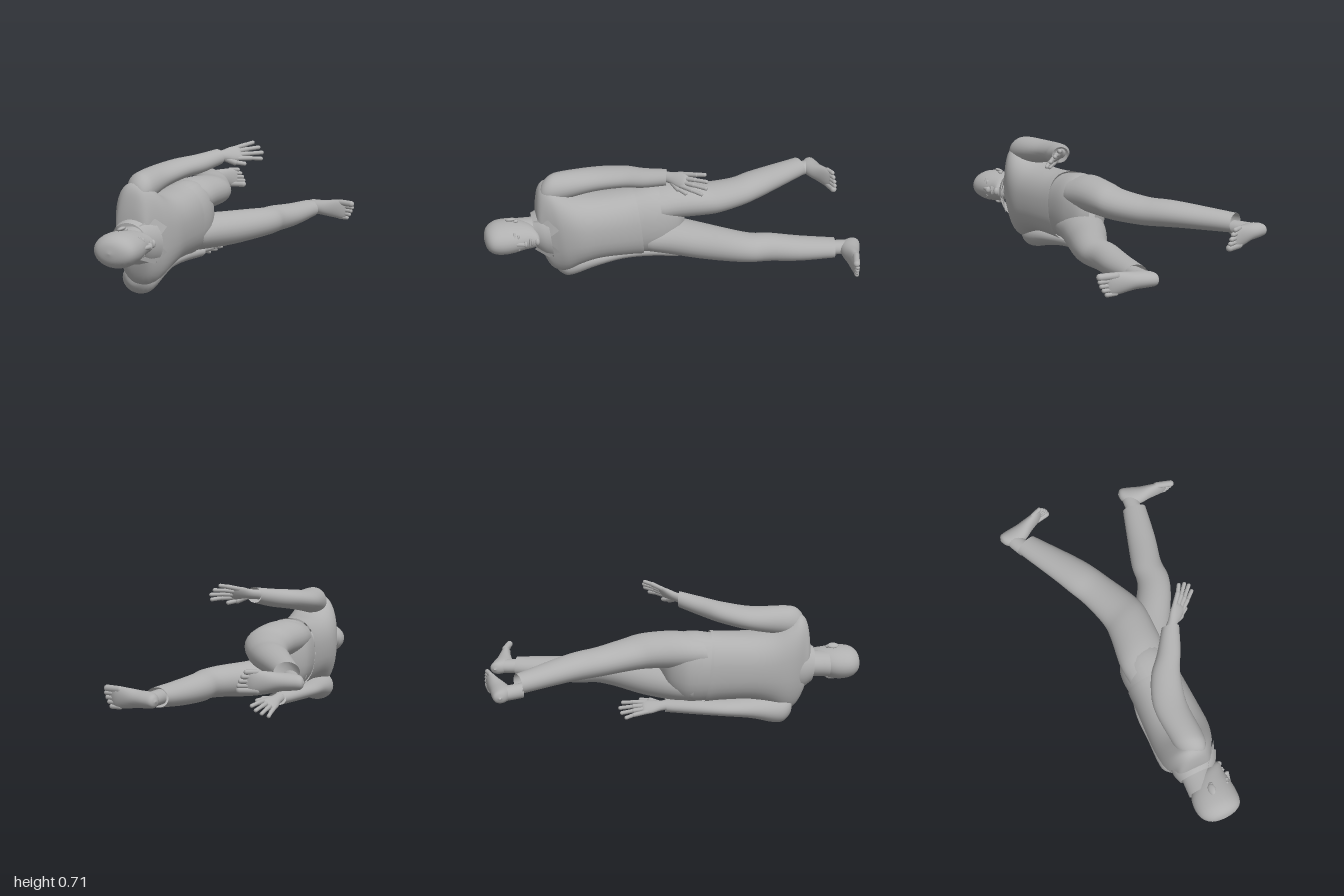
import * as THREE from 'three';

const grey = new THREE.MeshStandardMaterial({ color: 0xb0b0b0, side: THREE.DoubleSide });
grey.name = 'plain grey';
const V = (x, y, z) => new THREE.Vector3(x, y, z);

function add(parent, name, geometry) {
  const mesh = new THREE.Mesh(geometry, grey);
  mesh.name = name;
  parent.add(mesh);
  return mesh;
}

// Smooth tube of rounded sections along an axis.
// Rows run up the axis: [position, centreA, centreB, radiusA, radiusB]; leanA and leanB tilt the rings,
// power 2 gives ellipses and more gives boxier sections.
function loft(rows, { axis = 'z', leanA = 0, leanB = 0, power = 2, sides = 28 } = {}) {
  const centres = new THREE.CatmullRomCurve3(rows.map(r => V(r[0], r[1], r[2])), false, 'catmullrom');
  const radii = new THREE.CatmullRomCurve3(rows.map(r => V(r[3], r[4], 0)), false, 'catmullrom');
  const steps = (rows.length - 1) * 4, pos = [], index = [];
  const bend = v => Math.sign(v) * Math.abs(v) ** (2 / power);
  for (let i = 0; i <= steps; i++) {
    const c = centres.getPoint(i / steps), r = radii.getPoint(i / steps);
    for (let j = 0; j < sides; j++) {
      const t = j / sides * Math.PI * 2;
      const da = Math.max(r.x, 0) * bend(Math.cos(t)), db = Math.max(r.y, 0) * bend(Math.sin(t));
      const a = c.y + da, b = c.z + db, h = c.x + leanA * da + leanB * db;
      pos.push(...(axis === 'z' ? [a, b, h] : [h, a, b]));
      if (i < steps) {
        const k = (j + 1) % sides, p = i * sides, q = p + sides;
        index.push(p + j, p + k, q + k, p + j, q + k, q + j);
      }
    }
  }
  const g = new THREE.BufferGeometry();
  g.setAttribute('position', new THREE.Float32BufferAttribute(pos, 3));
  g.setIndex(index);
  g.computeVertexNormals();
  return g;
}

// Rounded rod between two points
function rod(parent, name, a, b, r) {
  const d = b.clone().sub(a);
  const m = add(parent, name, new THREE.CapsuleGeometry(r, d.length(), 6, 12));
  m.position.copy(a).add(b).multiplyScalar(0.5);
  m.quaternion.setFromUnitVectors(V(0, 1, 0), d.normalize());
}

function blob(parent, name, p, s) {
  const m = add(parent, name, new THREE.SphereGeometry(1, 16, 12));
  m.position.set(...p);
  m.scale.set(...s);
  return m;
}

// Hand: fingers along local z, thumb towards local x
function hand(parent, name, origin, fingers, thumb) {
  const g = new THREE.Group();
  g.name = name;
  const z = fingers.normalize(), y = z.clone().cross(thumb).normalize(), x = y.clone().cross(z);
  g.quaternion.setFromRotationMatrix(new THREE.Matrix4().makeBasis(x, y, z));
  g.position.copy(origin);
  add(g, 'palm', loft([[-0.04, 0, 0, 0.028, 0.024], [0.02, 0, 0, 0.03, 0.022], [0.07, 0, 0, 0.042, 0.02],
    [0.11, 0, 0, 0.043, 0.015], [0.125, 0, 0, 0.03, 0.004]], { sides: 16 }));
  [0.218, 0.24, 0.248, 0.232].forEach((tip, i) => {
    const s = i - 1.5, mid = V(s * 0.028, 0, 0.165);
    rod(g, 'finger', V(s * 0.021, 0, 0.095), mid, 0.0122);
    rod(g, 'fingertip', mid, V(s * 0.034, 0.006, tip - 0.01), 0.0105);
  });
  rod(g, 'thumbBase', V(0.018, 0.004, 0.03), V(0.047, 0.008, 0.075), 0.016);
  rod(g, 'thumb', V(0.047, 0.008, 0.075), V(0.062, 0.012, 0.125), 0.0115);
  parent.add(g);
}

// Bare foot: toes along local x, ankle up local z; inner is the side of the big toe
function foot(parent, name, heel, angle, inner) {
  const g = new THREE.Group();
  g.name = name;
  add(g, 'sole', loft([[0, 0, 0.035, 0.004, 0.006], [0.015, 0, 0.038, 0.03, 0.034], [0.06, 0, 0.054, 0.04, 0.054],
    [0.12, 0, 0.05, 0.043, 0.048], [0.18, 0, 0.034, 0.051, 0.034], [0.235, 0, 0.022, 0.055, 0.022],
    [0.268, 0, 0.016, 0.044, 0.009]], { axis: 'x' }));
  add(g, 'ankle', loft([[0.04, 0.06, 0, 0.046, 0.036], [0.09, 0.068, 0, 0.045, 0.037], [0.16, 0.084, 0, 0.042, 0.038]]));
  [0.318, 0.314, 0.306, 0.294, 0.279].forEach((tip, i) => {
    const y = inner * (0.039 - i * 0.0215), r = i ? 0.0118 : 0.018;
    rod(g, 'toe', V(0.22, y, 0.021), V(tip - r, y, r), r);
  });
  g.position.copy(heel);
  g.rotation.y = angle;
  parent.add(g);
}

export function createModel() {
  const model = new THREE.Group();
  model.name = 'recliningWalker';

  // Shirt, widening into the shoulders
  add(model, 'shirtBody', loft([[0.17, -0.098, 0.315, 0.145, 0.19], [0.25, -0.096, 0.315, 0.148, 0.183],
    [0.4, -0.095, 0.315, 0.155, 0.182], [0.5, -0.095, 0.315, 0.157, 0.205], [0.58, -0.1, 0.32, 0.145, 0.25],
    [0.63, -0.105, 0.328, 0.125, 0.265], [0.67, -0.105, 0.325, 0.102, 0.235], [0.695, -0.105, 0.318, 0.09, 0.16],
    [0.71, -0.1, 0.315, 0.07, 0.07]], { leanB: 0.11, power: 2.35, sides: 36 }));
  add(model, 'leftSleeve', loft([[0.04, 0.06, 0.64, 0.045, 0.042], [0.15, 0, 0.617, 0.06, 0.049],
    [0.25, -0.065, 0.602, 0.074, 0.053], [0.4, -0.11, 0.58, 0.083, 0.06], [0.57, -0.103, 0.563, 0.082, 0.075],
    [0.635, -0.1, 0.552, 0.072, 0.074], [0.675, -0.1, 0.538, 0.045, 0.048], [0.685, -0.1, 0.53, 0.004, 0.004]],
  { leanA: 0.25 }));
  add(model, 'rightSleeve', loft([[-0.05, -0.1, 0.1, 0.05, 0.034], [0.1, -0.14, 0.104, 0.06, 0.039],
    [0.25, -0.16, 0.102, 0.075, 0.043], [0.4, -0.15, 0.093, 0.085, 0.056], [0.52, -0.143, 0.08, 0.093, 0.075],
    [0.575, -0.14, 0.083, 0.087, 0.075], [0.615, -0.14, 0.1, 0.05, 0.05], [0.622, -0.14, 0.105, 0.004, 0.004]]));

  // Collar band and its two pointed flaps
  add(model, 'collar', loft([[0.65, -0.088, 0.3, 0.13, 0.138], [0.69, -0.096, 0.303, 0.118, 0.123],
    [0.73, -0.105, 0.31, 0.098, 0.095]], { leanB: 0.1 }));
  for (const s of [-1, 1]) {
    const flap = new THREE.BufferGeometry();
    const y = d => 0.31 + s * d;
    flap.setAttribute('position', new THREE.Float32BufferAttribute([
      0.02, y(0.005), 0.675, -0.05, y(0.085), 0.735, 0, y(0.115), 0.665, 0.043, y(0.065), 0.61], 3));
    flap.setIndex(s > 0 ? [0, 2, 1, 0, 3, 2] : [0, 1, 2, 0, 2, 3]);
    flap.computeVertexNormals();
    add(model, 'collarFlap', flap);
  }

  // Trousers, cuffs square to the legs
  add(model, 'trouserSeat', loft([[-0.08, -0.06, 0.32, 0.02, 0.04], [-0.04, -0.085, 0.32, 0.09, 0.13],
    [0.03, -0.1, 0.32, 0.13, 0.18], [0.1, -0.102, 0.32, 0.14, 0.19], [0.2, -0.1, 0.315, 0.133, 0.18]], { power: 2.25 }));
  add(model, 'leftTrouserLeg', loft([[-0.82, -0.405, 0.375, 0.058, 0.05], [-0.6, -0.272, 0.388, 0.08, 0.064],
    [-0.5, -0.217, 0.39, 0.088, 0.07], [-0.4, -0.167, 0.388, 0.091, 0.073], [-0.25, -0.11, 0.4, 0.105, 0.081],
    [-0.15, -0.097, 0.413, 0.119, 0.089], [0, -0.105, 0.418, 0.13, 0.095], [0.11, -0.1, 0.41, 0.125, 0.09]],
  { leanA: -0.4 }));
  add(model, 'rightTrouserLeg', loft([[-0.835, 0.25, 0.22, 0.064, 0.05], [-0.65, 0.209, 0.215, 0.077, 0.064],
    [-0.5, 0.171, 0.219, 0.081, 0.073], [-0.4, 0.164, 0.223, 0.087, 0.075], [-0.3, 0.12, 0.223, 0.098, 0.082],
    [-0.15, 0.025, 0.218, 0.114, 0.092], [0, -0.06, 0.222, 0.125, 0.096], [0.11, -0.1, 0.225, 0.125, 0.09]],
  { leanA: 0.2 }));

  // Hands and feet
  hand(model, 'leftHand', V(0.068, 0.645, 0.035), V(0.72, 0.1, -0.7), V(0.45, -0.8, 0.45));
  hand(model, 'rightHand', V(-0.1, 0.1, -0.055), V(0.08, -0.11, -1), V(1, 0.6, 0));
  foot(model, 'leftFoot', V(-0.525, 0.345, -0.943), 0.17, -1);
  foot(model, 'rightFoot', V(0.216, 0.22, -0.988), -0.32, 1);

  // Head and neck
  add(model, 'neck', loft([[0.62, -0.1, 0.315, 0.085, 0.08], [0.7, -0.103, 0.312, 0.086, 0.068],
    [0.82, -0.108, 0.31, 0.085, 0.068]]));
  const head = new THREE.Group();
  head.name = 'head';
  model.add(head);
  add(head, 'skull', loft([[0.706, -0.02, 0.31, 0, 0], [0.71, -0.02, 0.31, 0.035, 0.026],
    [0.725, -0.03, 0.31, 0.058, 0.046], [0.75, -0.05, 0.31, 0.077, 0.062], [0.785, -0.066, 0.31, 0.094, 0.072],
    [0.83, -0.075, 0.308, 0.112, 0.081], [0.88, -0.077, 0.306, 0.119, 0.087], [0.93, -0.075, 0.306, 0.115, 0.083],
    [0.965, -0.072, 0.306, 0.096, 0.068], [0.987, -0.074, 0.306, 0.06, 0.043], [0.997, -0.075, 0.306, 0, 0]]));
  rod(head, 'noseBridge', V(0.027, 0.31, 0.835), V(0.037, 0.31, 0.793), 0.011);
  blob(head, 'noseTip', [0.035, 0.31, 0.787], [0.016, 0.018, 0.011]);
  blob(head, 'upperLip', [0.025, 0.31, 0.763], [0.01, 0.026, 0.006]);
  blob(head, 'lowerLip', [0.023, 0.31, 0.752], [0.01, 0.021, 0.006]);
  blob(head, 'chin', [0.02, 0.31, 0.724], [0.017, 0.022, 0.014]);
  for (const s of [-1, 1]) {
    blob(head, 'eye', [0.015, 0.31 + s * 0.034, 0.822], [0.012, 0.015, 0.008]);
    rod(head, 'brow', V(0.027, 0.31 + s * 0.017, 0.84), V(0.009, 0.31 + s * 0.052, 0.842), 0.007);
    const ear = blob(head, 'ear', [-0.083, 0.31 + s * 0.09, 0.85], [0.02, 0.01, 0.03]);
    ear.rotation.z = s * 0.4;
    blob(head, 'earLobe', [-0.075, 0.31 + s * 0.083, 0.825], [0.012, 0.009, 0.014]);
  }
  return model;
}
